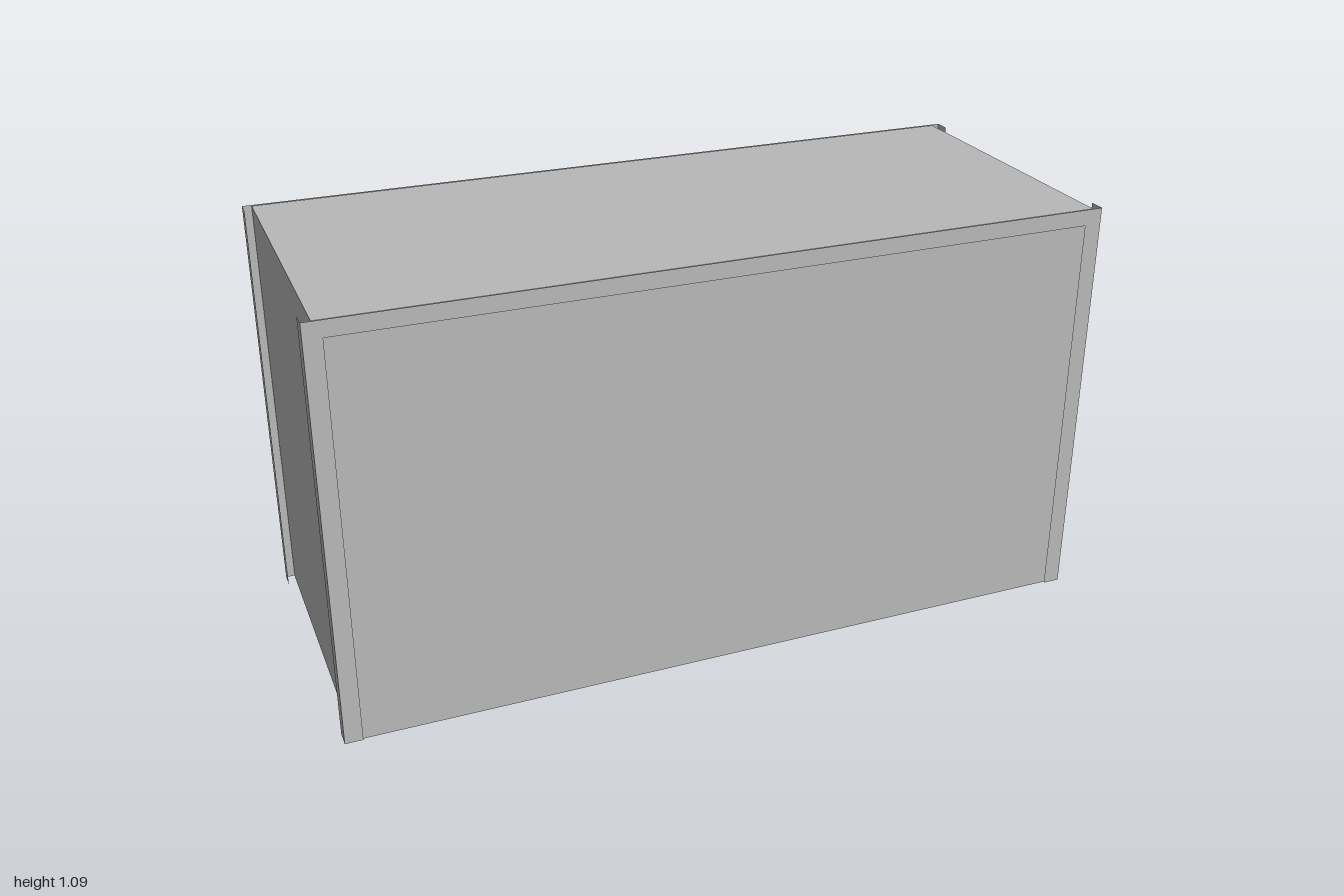
import * as THREE from 'three';

const H = 1.09;

// Thin upright sheet following a plan path of [x, z] points, open at top and bottom
function sheet(name, path, y0, y1, material) {
  const pos = [];
  for (let i = 0; i < path.length - 1; i++) {
    const [ax, az] = path[i], [bx, bz] = path[i + 1];
    pos.push(ax, y0, az, bx, y0, bz, bx, y1, bz);
    pos.push(ax, y0, az, bx, y1, bz, ax, y1, az);
  }
  const g = new THREE.BufferGeometry();
  g.setAttribute('position', new THREE.Float32BufferAttribute(pos, 3));
  g.computeVertexNormals();
  const mesh = new THREE.Mesh(g, material);
  mesh.name = name;
  return mesh;
}

export function createModel() {
  const grey = new THREE.MeshStandardMaterial({ color: 0xb8b8b8, side: THREE.DoubleSide });
  grey.name = 'paintedSteel';
  const dark = new THREE.MeshStandardMaterial({ color: 0x646672, side: THREE.DoubleSide });
  dark.name = 'darkSeal';

  const model = new THREE.Group();
  model.name = 'container';
  const wx = 0.977, wz = 0.4;

  // Four walls, open underneath
  model.add(sheet('walls', [[-wx, wz], [wx, wz], [wx, -wz], [-wx, -wz], [-wx, wz]], 0, H - 0.001, grey));

  // Roof panel
  const roof = new THREE.Mesh(new THREE.PlaneGeometry(wx * 2, wz * 2).rotateX(-Math.PI / 2), grey);
  roof.name = 'roof';
  roof.position.y = H - 0.001;
  model.add(roof);

  // Angle-section corner posts and top rails
  for (const sz of [1, -1]) {
    const z = sz * 0.405;
    for (const sx of [1, -1]) {
      const post = [[sx * 0.955, z], [sx, z], [sx, sz * 0.363]];
      model.add(sheet('cornerPost', sx * sz > 0 ? post : post.reverse(), 0, H, grey));
    }
    const rail = [[-0.955, z], [0.955, z]];
    model.add(sheet('topRail', sz > 0 ? rail : rail.reverse(), 1.048, H, grey));
  }

  // Door bars: open channels standing off the end wall
  const bar = (name, z, half, depth, y0, y1, material) => model.add(sheet(name,
    [[wx, z + half], [wx + depth, z + half], [wx + depth, z - half], [wx, z - half]], y0, y1, material));
  for (const z of [0.24, 0.07, -0.068, -0.238]) bar('lockingBar', z, 0.008, 0.016, 0.29, 1.06, grey);
  bar('doorSeal', 0.001, 0.01, 0.01, 0.273, 1.073, dark);

  return model;
}
